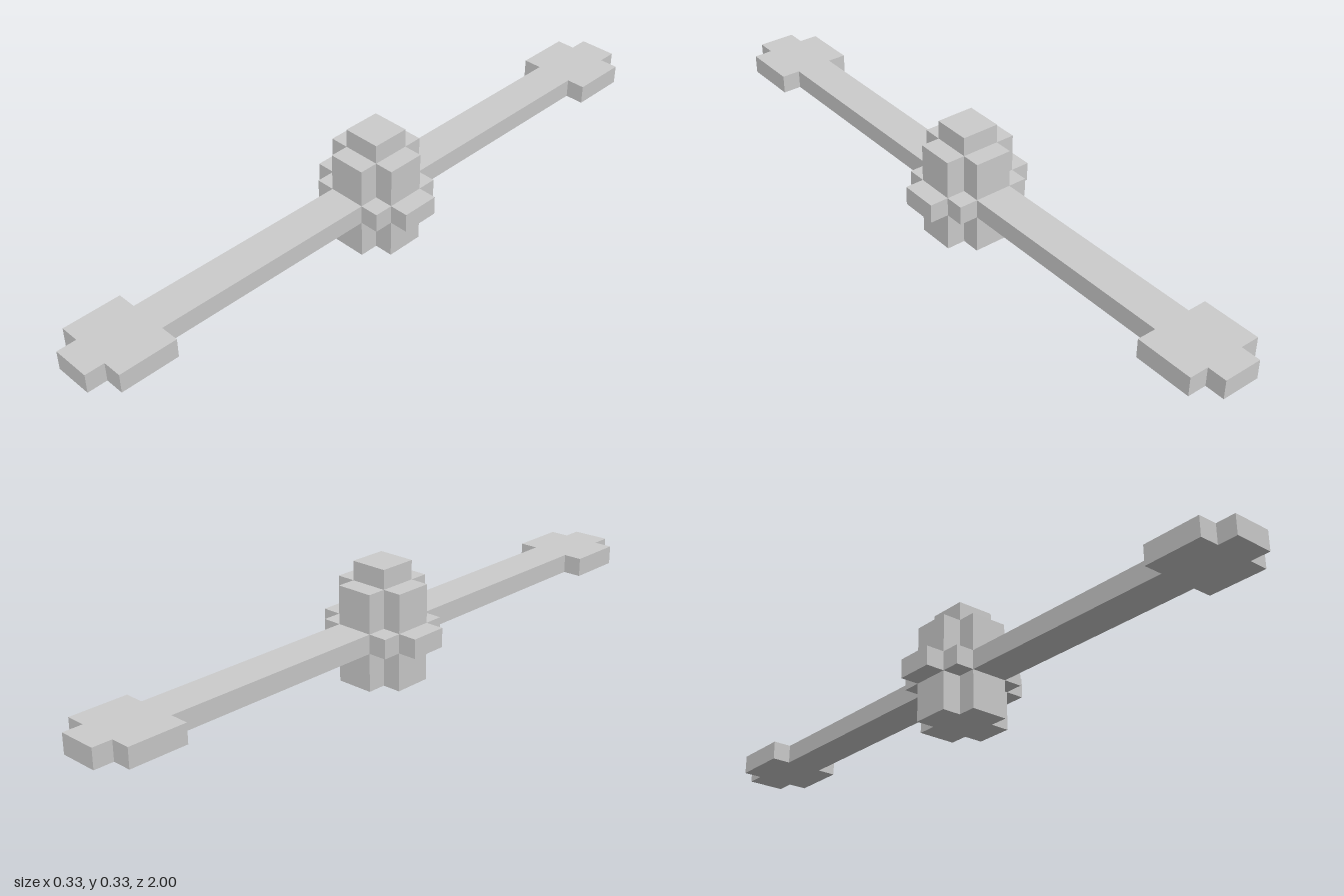
import * as THREE from 'three';

const U = 1 / 18; // one block unit

// Mirrors a quarter outline (x, z in units) into a full one and extrudes it upward
function slab(name, quarter, bottom, top, material) {
  const back = [...quarter].reverse();
  const outline = [
    ...quarter,
    ...back.map(([x, z]) => [x, -z]),
    ...quarter.map(([x, z]) => [-x, -z]),
    ...back.map(([x, z]) => [-x, z]),
  ].map(([x, z]) => new THREE.Vector2(x * U, z * U));
  const geometry = new THREE.ExtrudeGeometry(new THREE.Shape(outline), {
    depth: (top - bottom) * U,
    bevelEnabled: false,
  });
  geometry.rotateX(-Math.PI / 2);
  const mesh = new THREE.Mesh(geometry, material);
  mesh.name = name;
  mesh.position.y = bottom * U;
  return mesh;
}

export function createModel() {
  const group = new THREE.Group();
  group.name = 'propeller';
  const material = new THREE.MeshStandardMaterial({ color: 0xcccccc, flatShading: true });

  const cross = [[1, 2], [1, 1], [2, 1]];
  // Long blades with widened ends, joined by a stepped collar around the hub
  const blades = [
    [1, 18], [1, 17], [2, 17], [2, 14], [1, 14],
    [1, 2], [2, 2], [2, 1], [3, 1],
  ];

  group.add(
    slab('lowerHub', cross, 0, 2, material),
    slab('bladesAndCollar', blades, 2, 3, material),
    slab('upperHub', cross, 3, 5, material),
    slab('hubCap', [[1, 1]], 5, 6, material),
  );
  return group;
}
